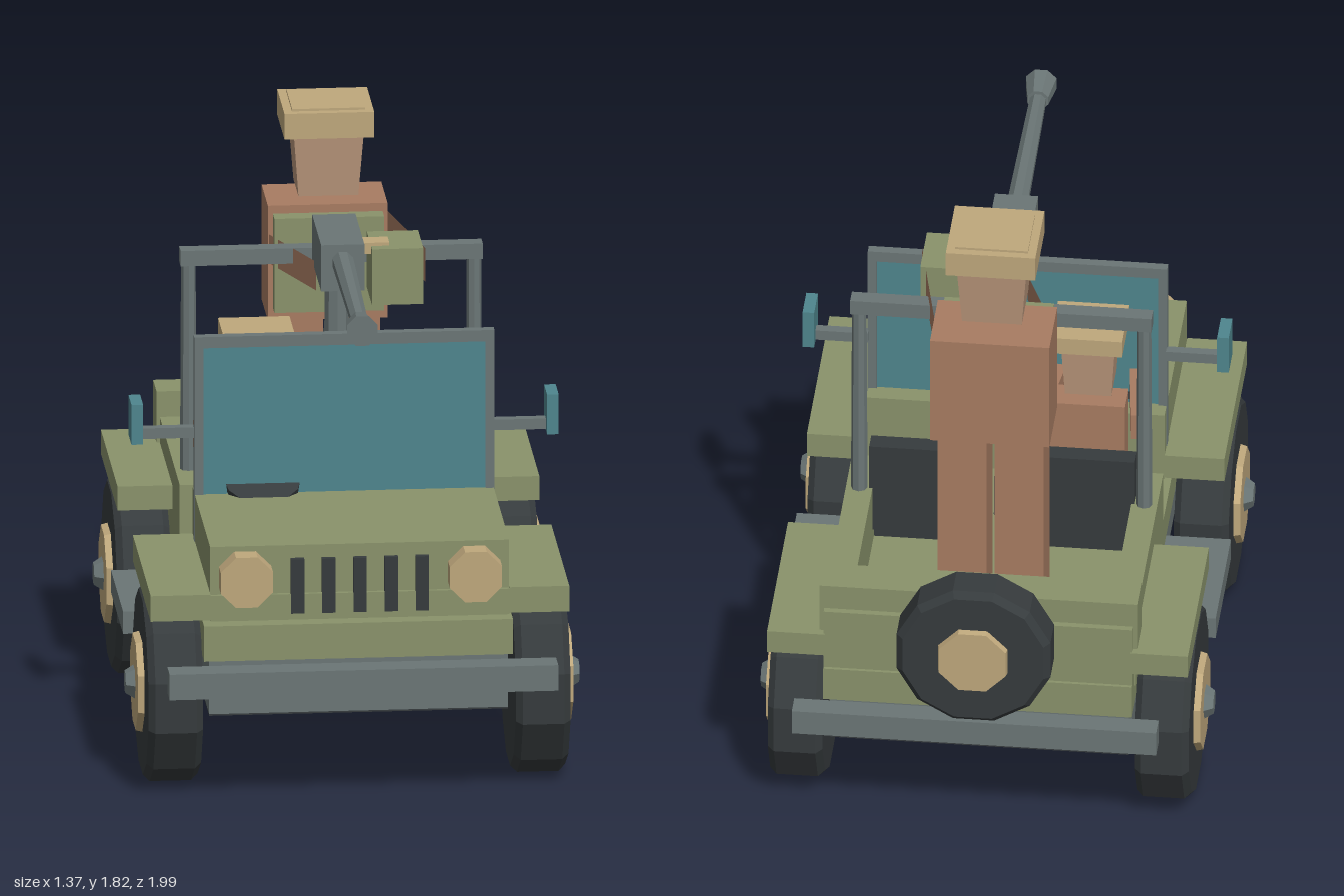
import * as THREE from 'three';

const mat = (color) => new THREE.MeshStandardMaterial({ color, flatShading: true });
const olive = mat(0x8a936b), grey = mat(0x6b7676), dark = mat(0x363b3d), tan = mat(0xbfa87c);
const cloth = mat(0xa87c62), skin = mat(0xb8957a), teal = mat(0x4f868e);
const clothThin = mat(0xa87c62);
clothThin.side = THREE.DoubleSide;

export function createModel() {
  const root = new THREE.Group();
  const add = (name, geo, material, parent = root) => {
    const m = new THREE.Mesh(geo, material);
    m.name = name;
    parent.add(m);
    return m;
  };
  // Box given by its limits on each axis
  const box = (name, material, x0, x1, y0, y1, z0, z1, parent = root) => {
    const m = add(name, new THREE.BoxGeometry(x1 - x0, y1 - y0, z1 - z0), material, parent);
    m.position.set((x0 + x1) / 2, (y0 + y1) / 2, (z0 + z1) / 2);
    return m;
  };
  // Box mirrored to both sides
  const pair = (name, material, x0, x1, y0, y1, z0, z1) => {
    box(name + 'Left', material, x0, x1, y0, y1, z0, z1);
    box(name + 'Right', material, -x1, -x0, y0, y1, z0, z1);
  };
  // Cylinder lying along z; rF is the radius at the +z end
  const rod = (name, material, rF, rB, z0, z1, sides, x, y, parent = root) => {
    const g = new THREE.CylinderGeometry(rF, rB, z1 - z0, sides).rotateY(Math.PI / sides).rotateX(Math.PI / 2);
    const m = add(name, g, material, parent);
    m.position.set(x, y, (z0 + z1) / 2);
    return m;
  };

  // Chassis and body
  box('chassis', grey, -0.45, 0.45, 0.255, 0.42, -0.8, 0.8);
  box('underside', dark, -0.45, 0.45, 0.25, 0.255, -0.8, 0.8);
  box('lowerBody', olive, -0.465, 0.465, 0.42, 0.53, -0.85, 0.8);
  pair('tubWall', olive, 0.39, 0.47, 0.49, 0.73, -0.78, 0);
  box('tailWall', olive, -0.465, 0.465, 0.53, 0.73, -0.84, -0.78);
  box('tailPanel', olive, -0.48, 0.48, 0.65, 0.81, -0.82, -0.7);
  pair('rearFender', olive, 0.46, 0.635, 0.575, 0.65, -0.845, -0.26);
  box('hood', olive, -0.45, 0.45, 0.56, 0.79, 0.22, 0.835);
  pair('frontFender', olive, 0.45, 0.63, 0.565, 0.645, 0.22, 0.85);
  box('noseBand', olive, -0.45, 0.45, 0.56, 0.64, 0.8, 0.848);
  for (let i = -2; i <= 2; i++) {
    box('grilleSlot', dark, i * 0.094 - 0.02, i * 0.094 + 0.02, 0.58, 0.75, 0.82, 0.853);
  }
  for (const s of [-1, 1]) rod('headlight', tan, 0.085, 0.085, 0.82, 0.9, 8, s * 0.345, 0.695);
  box('frontBumper', grey, -0.585, 0.585, 0.36, 0.44, 0.91, 0.99);
  box('rearBumper', grey, -0.55, 0.55, 0.35, 0.43, -0.94, -0.87);
  pair('runningBoard', grey, 0.45, 0.655, 0.32, 0.39, -0.255, 0.17);

  // Wheels, each turned so its hub points outward
  const wheel = (name, r, width, hubR) => {
    const g = new THREE.Group();
    g.name = name;
    const b = 0.02, h = width / 2;
    const profile = [[0, -h], [r - b, -h], [r, -h + b], [r, h - b], [r - b, h], [0, h]]
      .map(([x, y]) => new THREE.Vector2(x, y));
    add('tyre', new THREE.LatheGeometry(profile, 12).rotateY(Math.PI / 12).rotateX(Math.PI / 2), dark, g);
    rod('rim', tan, hubR * 0.95, hubR, h - 0.01, h + 0.02, 8, 0, 0, g);
    root.add(g);
    return g;
  };
  for (const s of [-1, 1]) {
    for (const z of [0.56, -0.55]) {
      const w = wheel('wheel', 0.3, 0.165, 0.155);
      rod('hubCap', grey, 0.035, 0.06, 0.09, 0.13, 6, 0, 0, w);
      w.position.set(s * 0.553, 0.29, z);
      w.rotation.y = s * Math.PI / 2;
    }
  }
  const spare = wheel('spareWheel', 0.24, 0.14, 0.115);
  spare.position.set(0, 0.685, -0.908);
  spare.rotation.y = Math.PI;

  // Windscreen and mirrors
  box('windscreenGlass', teal, -0.425, 0.425, 0.78, 1.25, 0.28, 0.295);
  pair('windscreenPost', grey, 0.425, 0.452, 0.64, 1.285, 0.272, 0.302);
  box('windscreenTop', grey, -0.45, 0.45, 1.25, 1.285, 0.272, 0.302);
  pair('mirrorArm', grey, 0.45, 0.615, 0.965, 0.998, 0.255, 0.285);
  pair('mirror', teal, 0.608, 0.643, 0.96, 1.085, 0.22, 0.325);

  // Seats, steering wheel and roll bar
  pair('seatCushion', dark, 0.09, 0.39, 0.53, 0.6, -0.13, 0.18);
  pair('seatBack', dark, 0.085, 0.4, 0.58, 0.88, -0.17, -0.11);
  const steering = add('steeringWheel', new THREE.CylinderGeometry(0.12, 0.12, 0.02, 12), dark);
  steering.position.set(-0.245, 0.83, 0.26);
  steering.rotation.x = 0.56;
  for (const s of [-1, 1]) {
    const post = add('rollBarPost', new THREE.CylinderGeometry(0.022, 0.026, 0.87, 8), grey);
    post.position.set(s * 0.43, 0.96, -0.167);
  }
  box('rollBarTop', grey, -0.455, 0.455, 1.372, 1.42, -0.193, -0.143);

  // Mounted gun
  const pedestal = add('gunPedestal', new THREE.CylinderGeometry(0.035, 0.045, 0.88, 8), grey);
  pedestal.position.set(0, 0.97, 0.023);
  box('gunBody', grey, -0.065, 0.065, 1.4, 1.545, -0.075, 0.24);
  const barrel = rod('gunBarrel', grey, 0.026, 0.034, 0.22, 0.85, 8, 0, 1.487);
  barrel.rotation.x = 0.015;
  rod('gunMuzzle', grey, 0.05, 0.034, 0.835, 0.93, 8, 0, 1.485);
  box('ammoBox', olive, 0.1, 0.255, 1.31, 1.485, -0.085, 0.1);
  box('ammoFeed', tan, 0.06, 0.155, 1.46, 1.495, 0.005, 0.065);

  // Heads narrow toward the chin
  const head = (name, x, y0, y1, z, wTop, wBottom) => {
    const g = new THREE.CylinderGeometry(wTop * Math.SQRT1_2, wBottom * Math.SQRT1_2, y1 - y0, 4).rotateY(Math.PI / 4);
    add(name, g, skin).position.set(x, (y0 + y1) / 2, z);
  };

  // Standing gunner
  pair('gunnerLeg', cloth, 0.012, 0.16, 0.53, 1.15, -0.48, -0.315);
  box('gunnerTorso', cloth, -0.18, 0.18, 1.15, 1.51, -0.51, -0.29);
  box('gunnerVest', olive, -0.165, 0.165, 1.19, 1.485, -0.29, -0.235);
  head('gunnerHead', 0, 1.545, 1.74, -0.355, 0.21, 0.18);
  box('gunnerCap', tan, -0.135, 0.135, 1.735, 1.815, -0.485, -0.23);
  box('gunnerCapCrown', tan, -0.11, 0.11, 1.81, 1.822, -0.46, -0.255);
  // Thin forearm panels reaching from the shoulders to the gun
  const arm = (x0, z0, x1, z1, y0, y1) => {
    const m = add('gunnerArm', new THREE.PlaneGeometry(Math.hypot(x1 - x0, z1 - z0), y1 - y0), clothThin);
    m.position.set((x0 + x1) / 2, (y0 + y1) / 2, (z0 + z1) / 2);
    m.rotation.y = Math.atan2(-(z1 - z0), x1 - x0);
  };
  arm(0.18, -0.36, 0.265, 0.05, 1.365, 1.47);
  arm(-0.18, -0.3, -0.06, 0, 1.33, 1.42);

  // Seated driver
  box('driverTorso', cloth, -0.36, -0.13, 0.6, 1.01, -0.07, 0.03);
  head('driverHead', -0.245, 1.02, 1.18, 0.04, 0.16, 0.14);
  box('driverCap', tan, -0.35, -0.135, 1.18, 1.235, -0.055, 0.145);
  for (const s of [-1, 1]) {
    const a = box('driverArm', cloth, -0.03, 0.03, 0.85, 0.935, 0, 0.25);
    a.position.x = -0.245 + s * 0.14;
    a.rotation.y = -s * 0.12;
  }
  return root;
}
